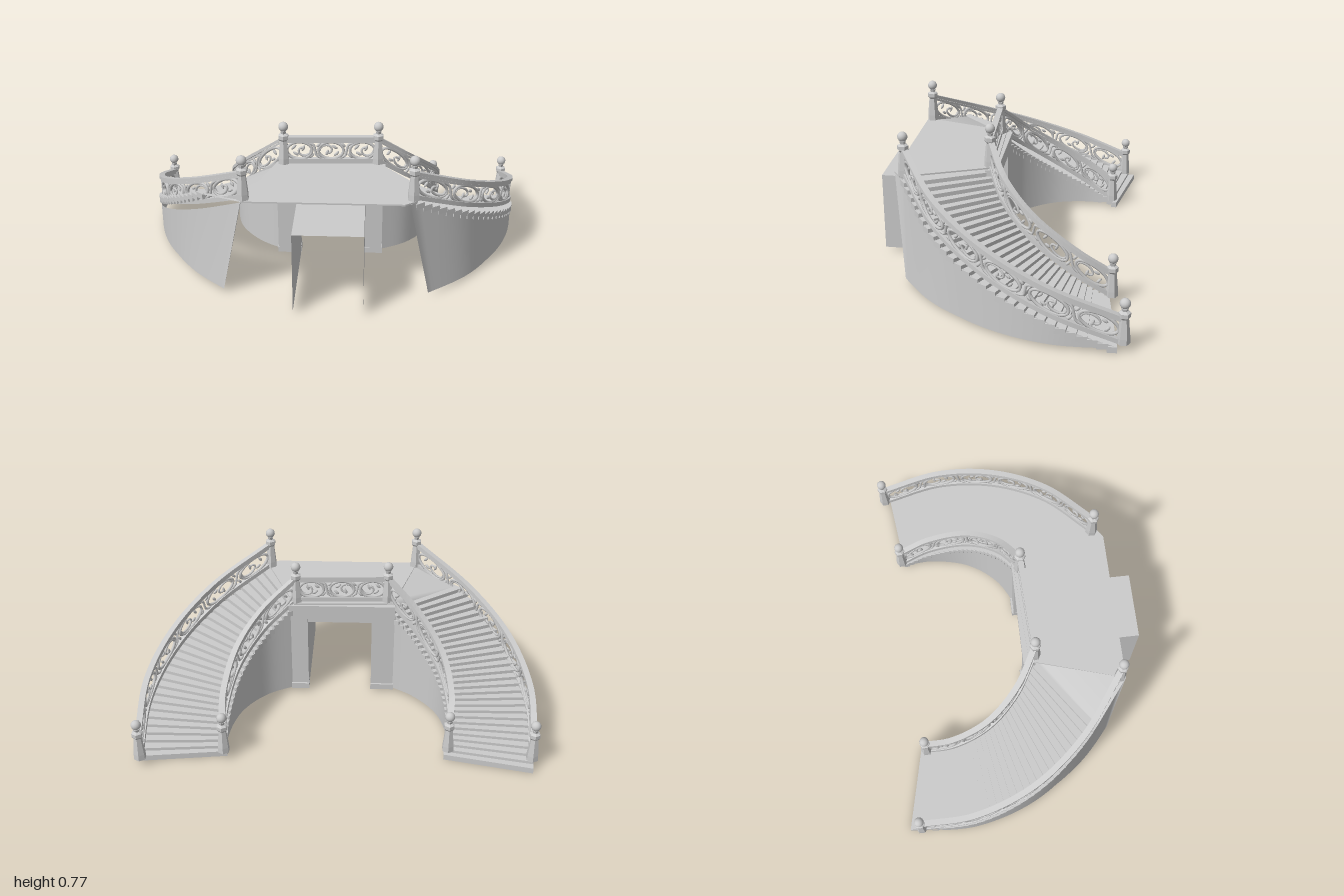
import * as THREE from 'three';
import { mergeGeometries } from 'three/addons/utils/BufferGeometryUtils.js';

const TOP = 0.545, DROP = 0.515;
const mat = new THREE.MeshStandardMaterial({ color: 0xcccccc, side: THREE.DoubleSide });
const V = (x, y, z) => new THREE.Vector3(x, y, z);
const path = pts => new THREE.CatmullRomCurve3(pts.map(([x, z]) => V(x, 0, z)));
const sag = u => Math.sin(Math.PI * u);
const slope = u => TOP - DROP * u - 0.008 * sag(u);
const lerp = THREE.MathUtils.lerp;

function add(parent, name, geometry) {
  const mesh = new THREE.Mesh(geometry, mat);
  mesh.name = name;
  parent.add(mesh);
  return mesh;
}

// Horizontal offset of a path point, to the side of its direction of travel
function offset(curve, u, d, y) {
  const p = curve.getPointAt(u), t = curve.getTangentAt(u);
  return V(p.x - t.z * d, y, p.z + t.x * d);
}

// Grid surface through rows of points; closed rows become capped solids
function loft(rows, closed) {
  const n = rows[0].length, pos = rows.flat().flatMap(p => [p.x, p.y, p.z]), idx = [];
  for (let i = 0; i < rows.length - 1; i++) {
    for (let j = 0; j < (closed ? n : n - 1); j++) {
      const a = i * n + j, b = i * n + (j + 1) % n;
      idx.push(a, b, a + n, b, b + n, a + n);
    }
  }
  if (closed) {
    const e = (rows.length - 1) * n;
    for (let j = 1; j < n - 1; j++) idx.push(0, j + 1, j, e, e + j, e + j + 1);
  }
  let g = new THREE.BufferGeometry();
  g.setAttribute('position', new THREE.Float32BufferAttribute(pos, 3));
  g.setIndex(idx);
  if (closed) g = g.toNonIndexed();
  g.computeVertexNormals();
  return g;
}

// Rectangular rail that follows a path
function bar(curve, heightAt, h, w, t, steps) {
  const rows = [];
  for (let i = 0; i <= steps; i++) {
    const u = i / steps, y = heightAt(u) + h;
    rows.push([[-w, -t], [w, -t], [w, t], [-w, t]].map(([a, b]) => offset(curve, u, a / 2, y + b / 2)));
  }
  return loft(rows, true);
}

// Post: faceted tapered shaft, collar and ball
function post(parent, x, y, z) {
  const group = new THREE.Group();
  group.name = 'post';
  const profile = [[0, 0], [0.031, 0], [0.03, 0.03], [0.02, 0.125], [0.028, 0.135], [0.028, 0.155],
    [0.013, 0.163], [0.017, 0.178], [0, 0.182]].map(([r, h]) => new THREE.Vector2(r, h));
  const shaft = new THREE.LatheGeometry(profile, 6).toNonIndexed();
  shaft.computeVertexNormals();
  add(group, 'postShaft', shaft);
  add(group, 'postBall', new THREE.SphereGeometry(0.025, 14, 10)).position.y = 0.2;
  group.position.set(x, y, z);
  parent.add(group);
}

// Railing: bars with oval rings, curled tendrils and leaves between them
function railing(parent, name, curve, heightAt, units) {
  const group = new THREE.Group();
  group.name = name;
  const steps = units * 9, length = curve.getLength();
  add(group, 'handrail', bar(curve, heightAt, 0.138, 0.03, 0.018, steps));
  add(group, 'underRail', bar(curve, heightAt, 0.121, 0.018, 0.012, steps));
  add(group, 'bottomRail', bar(curve, heightAt, 0.014, 0.026, 0.024, steps));
  const at = (u, h) => {
    u = THREE.MathUtils.clamp(u, 0, 1);
    const p = curve.getPointAt(u);
    p.y = heightAt(u) + h;
    return p;
  };
  const parts = [], half = 0.4 / units, mid = 0.07;
  const tube = (pts, r, closed) => parts.push(
    new THREE.TubeGeometry(new THREE.CatmullRomCurve3(pts, closed), pts.length * 2, r, 6, closed));
  const leaf = (u, h, angle) => {
    const g = new THREE.SphereGeometry(1, 6, 4), t = curve.getTangentAt(THREE.MathUtils.clamp(u, 0, 1));
    g.scale(0.018, 0.008, 0.007).rotateZ(angle).rotateY(Math.atan2(-t.z, t.x));
    const p = at(u, h);
    parts.push(g.translate(p.x, p.y, p.z));
  };
  for (let k = 0; k < units; k++) {
    const c = (k + 0.5) / units, side = k % 2 ? -1 : 1, ring = [], curl = [];
    for (let i = 0; i < 16; i++) {
      const a = i / 16 * Math.PI * 2;
      ring.push(at(c + half * Math.cos(a), mid + 0.046 * Math.sin(a)));
    }
    tube(ring, 0.008, true);
    for (let i = 0; i <= 10; i++) {
      const a = i / 10 * Math.PI * 1.5, r = 1 - 0.6 * i / 10;
      curl.push(at(c + side * half * (0.3 + 0.6 * r * Math.cos(a)), mid - side * 0.036 * r * Math.sin(a)));
    }
    tube(curl, 0.006, false);
    for (const [a, b, angle] of [[-0.45, 0.018, 0.8], [-0.3, -0.018, -0.6], [0.3, 0.012, 1.2]])
      leaf(c + side * half * a, mid + side * b, angle);
    // S-shaped tendrils with a leaf, joining neighbouring ovals
    if (k) {
      const u0 = k / units, d = 0.045 / length;
      tube([[-1, -0.044], [-0.2, -0.03], [0, 0], [0.2, 0.03], [1, 0.044]]
        .map(([a, h]) => at(u0 + a * d, mid + side * h)), 0.007, false);
      leaf(u0 + 0.4 * d, mid - side * 0.03, -side * 0.8);
      leaf(u0 - 0.4 * d, mid + side * 0.03, -side * 0.8);
    }
  }
  add(group, 'scrollwork', mergeGeometries(parts));
  parent.add(group);
}

// One curved flight: treads, side walls, railings and posts
function flight(parent, name, f) {
  const group = new THREE.Group();
  group.name = name;
  const outer = path(f.outer), inner = path(f.inner), out = f.side * 0.022;
  const treadOuter = path([...f.outer.slice(0, -1), f.outerEnd]);
  const treadInner = path([...f.inner.slice(0, -1), f.innerEnd]);
  const outerEdge = (t, y) => offset(treadOuter, lerp(f.start, 1, t), out, y);
  const count = 28, treads = [];
  for (let i = 0; i < count; i++) {
    const t0 = i / count, t1 = (i + 1) / count, t2 = Math.min(1, t1 + 0.004);
    const y = lerp(f.startY, TOP - DROP, t1) - 0.024 * sag(t1);
    const loop = h => [offset(treadInner, t0, -out, h), outerEdge(t0, h), outerEdge(t2, h), offset(treadInner, t2, -out, h)];
    treads.push(loft([loop(y - 0.03), loop(y)], true));
  }
  add(group, 'treads', mergeGeometries(treads));

  // walls slope back at the upper end and stop short of the lowest steps
  const wall = (curve, d, lean, spread) => {
    const rows = [];
    for (let i = 0; i <= 40; i++) {
      const t = i / 40, top = 0.97 * t;
      rows.push([offset(curve, lerp(lean, 0.91, t), d * lerp(spread, 1, Math.min(1, t * 2.5)), 0.018),
        offset(curve, top, d, slope(top) - 0.016 * sag(top) - 0.014)]);
    }
    return rows;
  };
  // the outer wall reaches forward to the front corner of the landing
  const outerRows = wall(outer, out * 0.7, f.lean, 3);
  outerRows.unshift([outerRows[0][0], V(f.corner[0], TOP - 0.008, f.corner[1])]);
  add(group, 'outerWall', loft(outerRows, false));
  add(group, 'innerWall', loft(wall(inner, -out * 0.7, 0, 1), false));

  railing(group, 'outerRailing', outer, slope, 6);
  railing(group, 'innerRailing', inner, slope, 4);
  for (const pts of [f.outer, f.inner]) {
    post(group, pts[0][0], TOP, pts[0][1]);
    post(group, pts[4][0], 0.042, pts[4][1]);
  }
  // sloping wedge between the landing and a flight that starts further down
  if (f.start) {
    const [ix, iz] = f.inner[0], y = f.startY - 0.022;
    add(group, 'landingWedge', loft([[V(f.corner[0], TOP - 0.002, f.corner[1]), V(ix, TOP - 0.002, iz)],
      [outerEdge(0.004, y), offset(treadInner, 0.004, -out, y)]], false));
  }
  parent.add(group);
}

export function createModel() {
  const model = new THREE.Group();
  model.name = 'doubleStaircase';

  flight(model, 'leftFlight', {
    side: 1, start: 0, startY: TOP, lean: 0.06, corner: [0.385, 0.53],
    outer: [[0.4, 0.48], [0.69, 0.266], [0.877, 0], [0.969, -0.3], [0.962, -0.63]],
    inner: [[0.23, 0.08], [0.4, -0.02], [0.52, -0.18], [0.57, -0.4], [0.557, -0.56]],
    outerEnd: [0.965, -0.605], innerEnd: [0.565, -0.55],
  });
  flight(model, 'rightFlight', {
    side: -1, start: 0.19, startY: 0.515, lean: 0.09, corner: [-0.42, 0.54],
    outer: [[-0.41, 0.51], [-0.69, 0.29], [-0.88, 0.03], [-0.975, -0.28], [-0.97, -0.57]],
    inner: [[-0.25, 0.1], [-0.41, -0.01], [-0.53, -0.17], [-0.575, -0.36], [-0.56, -0.51]],
    outerEnd: [-0.95, -0.63], innerEnd: [-0.56, -0.54],
  });

  // landing
  const outline = [[-0.42, 0.54], [0.36, 0.54], [0.42, 0.5], [0.24, 0.05], [-0.28, 0.07]];
  const slab = new THREE.ExtrudeGeometry(new THREE.Shape(outline.map(([x, z]) => new THREE.Vector2(x, -z))),
    { depth: 0.008, bevelEnabled: false });
  add(model, 'landing', slab.rotateX(-Math.PI / 2).translate(0, TOP - 0.008, 0));

  // landing railing between the two inner posts
  railing(model, 'landingRailing', path([[-0.25, 0.1], [0.23, 0.08]]), () => TOP, 3);

  // doorway frame under the landing
  const box = (name, x0, x1, y0, y1, z0, z1) =>
    add(model, name, new THREE.BoxGeometry(x1 - x0, y1 - y0, z1 - z0))
      .position.set((x0 + x1) / 2, (y0 + y1) / 2, (z0 + z1) / 2);
  box('rightPillar', -0.29, -0.17, 0.018, 0.505, 0.05, 0.1);
  box('leftPillar', 0.17, 0.26, 0.018, 0.505, 0.045, 0.09);
  box('rightPillarBase', -0.293, -0.168, 0.018, 0.05, 0.04, 0.102);
  box('leftPillarBase', 0.168, 0.263, 0.018, 0.05, 0.035, 0.092);
  box('lintel', -0.29, 0.26, 0.435, 0.505, 0.05, 0.095);
  box('cornice', -0.29, 0.27, 0.505, 0.537, 0.04, 0.1);

  // open passage leading forward from the doorway
  const section = z => [V(-0.17, 0.018, z), V(-0.17, 0.435, z), V(0.17, 0.435, z), V(0.17, 0.018, z)];
  const passage = loft([section(0.08), section(0.66)], false).toNonIndexed();
  passage.computeVertexNormals();
  add(model, 'passage', passage);

  return model;
}
